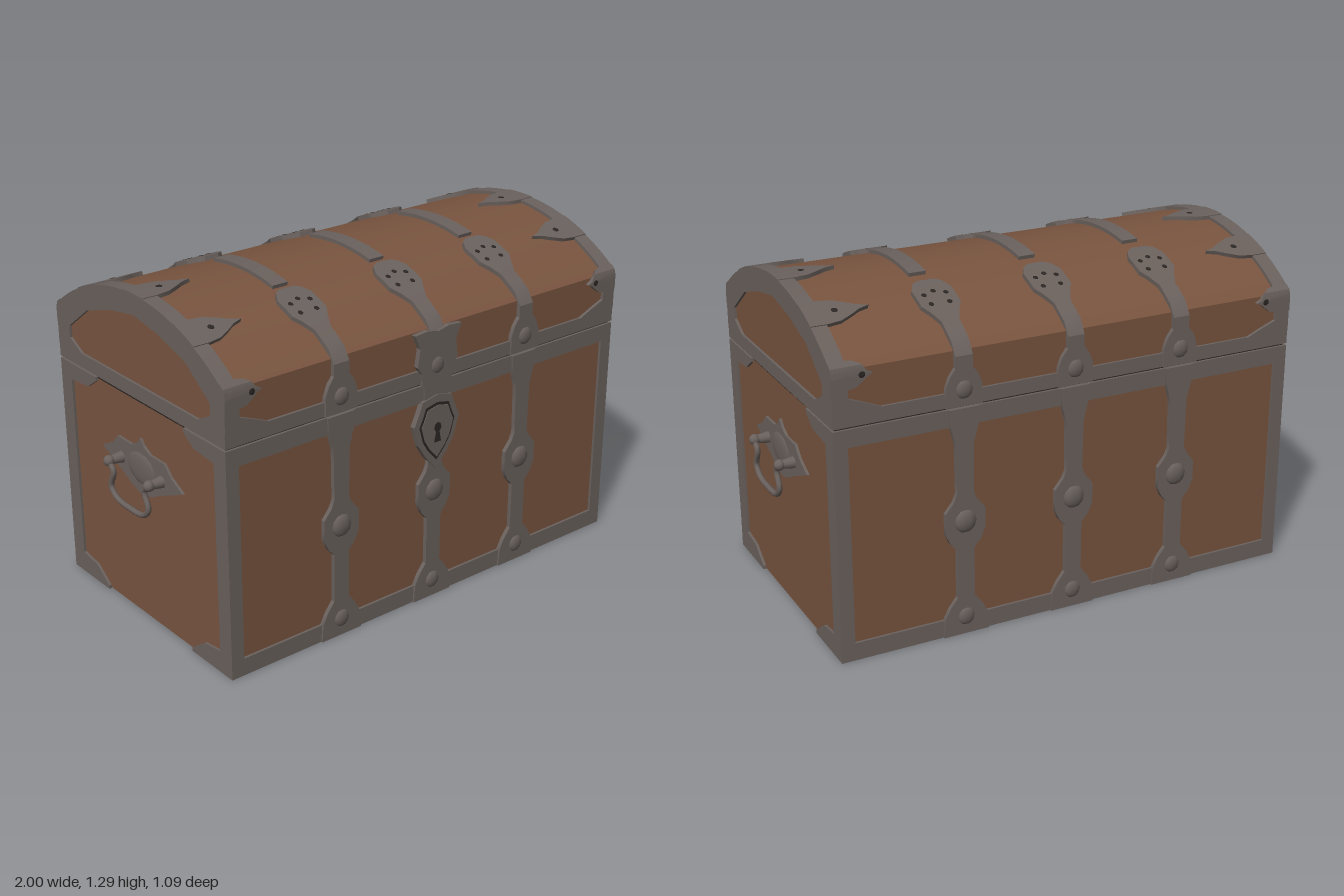
import * as THREE from 'three';
import { toCreasedNormals } from 'three/addons/utils/BufferGeometryUtils.js';

const wood = new THREE.MeshStandardMaterial({ color: 0x78543f });
wood.name = 'brown wood';
const iron = new THREE.MeshStandardMaterial({ color: 0x6a615d });
iron.name = 'grey iron';
const dark = new THREE.MeshStandardMaterial({ color: 0x2b2624 });
dark.name = 'dark recess';

// half width, half depth, seam height, top of the upright lid wall, crown height
const W = 0.915, D = 0.515, SEAM = 0.885, WALL = 1.09, TOP = 1.27;
const H = TOP - WALL, R = (D * D + H * H) / (2 * H), A = Math.asin(D / R), CY = TOP - R;
const CROWN = WALL + R * A, END = 2 * CROWN;

// Point on the chest's girth: t runs up the front, over the lid and down the back
function girth(t, off) {
  if (t <= WALL) return { z: D + off, y: t, tilt: 0 };
  if (t >= END - WALL) return { z: -D - off, y: END - t, tilt: -Math.PI };
  const a = A - (t - WALL) / R;
  return { z: (R + off) * Math.sin(a), y: CY + (R + off) * Math.cos(a), tilt: a - Math.PI / 2 };
}
const tAtZ = z => WALL + R * (A - Math.asin(z / R));

export function createModel() {
  const model = new THREE.Group();
  model.name = 'chest';
  const add = (name, geo, mat = iron, parent = model) => {
    const mesh = new THREE.Mesh(geo, mat);
    mesh.name = name;
    parent.add(mesh);
    return mesh;
  };

  // Iron plate wrapped on the girth; stations are [t, left x, right x]
  function strip(name, stations, off = 0.01) {
    const rows = [];
    stations.forEach(([t, l, r], i) => {
      const prev = stations[i - 1];
      if (prev) {
        const n = Math.ceil((t - prev[0]) / 0.05);
        for (let k = 1; k < n; k++) rows.push([0, 1, 2].map(c => prev[c] + (stations[i][c] - prev[c]) * k / n));
      }
      rows.push([t, l, r]);
    });
    const pos = [];
    const quad = (a, b, c, d) => [a, b, c, a, c, d].forEach(p => pos.push(...p));
    const rings = rows.map(([t, l, r]) => {
      const o = girth(t, off), b = girth(t, -0.004);
      return [[l, o.y, o.z], [r, o.y, o.z], [r, b.y, b.z], [l, b.y, b.z]];
    });
    for (let i = 0; i + 1 < rings.length; i++) {
      const p = rings[i], q = rings[i + 1];
      quad(p[0], p[1], q[1], q[0]);
      quad(p[1], p[2], q[2], q[1]);
      quad(p[3], p[0], q[0], q[3]);
    }
    const f = rings[0], e = rings[rings.length - 1];
    quad(f[3], f[2], f[1], f[0]);
    quad(e[0], e[1], e[2], e[3]);
    const geo = new THREE.BufferGeometry();
    geo.setAttribute('position', new THREE.Float32BufferAttribute(pos, 3));
    return add(name, toCreasedNormals(geo, 0.5));
  }

  const poly = pts => new THREE.Shape(pts.map(([x, y]) => new THREE.Vector2(x, y)));
  const mirrored = half => [...half, ...half.slice().reverse().filter(p => p[0] !== 0).map(([x, y]) => [-x, y])];
  const extrude = (shape, depth) => new THREE.ExtrudeGeometry(shape, { depth, bevelEnabled: false });

  // Flattened dome or disc sitting on the girth
  function stud(name, x, t, r, off, mat = iron, flat = 0.4) {
    const p = girth(t, off);
    const mesh = add(name, new THREE.SphereGeometry(r, 10, 6), mat);
    mesh.position.set(x, p.y, p.z);
    mesh.rotation.x = p.tilt;
    mesh.scale.z = flat;
  }

  // Wooden body, seam and barrel lid
  add('body', new THREE.BoxGeometry(2 * W, SEAM - 0.01, 2 * D), wood).position.y = 0.005 + (SEAM - 0.01) / 2;
  add('seam', new THREE.BoxGeometry(2 * W, 0.02, 2 * D), dark).position.y = SEAM;
  const arc = (off, n = 24) => Array.from({ length: n + 1 }, (_, i) => {
    const a = A * (1 - 2 * i / n);
    return [(R + off) * Math.sin(a), CY + (R + off) * Math.cos(a)];
  });
  const lid = extrude(poly([[-D, SEAM + 0.005], [D, SEAM + 0.005], ...arc(0)]), 2 * W);
  lid.translate(0, 0, -W);
  lid.rotateY(Math.PI / 2);
  add('lid', toCreasedNormals(lid, 0.5), wood);

  // Long bands and corner posts on front and back
  const band = (name, a, b, x0 = -0.925, x1 = 0.925) => {
    strip(name, [[a, x0, x1], [b, x0, x1]]);
    strip(name, [[END - b, x0, x1], [END - a, x0, x1]]);
  };
  band('bottomBand', 0, 0.068);
  band('bodyRimBand', 0.815, SEAM - 0.004);
  band('lidRimBand', SEAM + 0.004, 0.942);
  band('cornerPost', 0.068, 0.815, 0.872, 0.925);
  band('cornerPost', 0.068, 0.815, -0.925, -0.872);

  // Vertical straps with medallions, the same front and back
  const bottomStrap = [[0, 0.09], [0.07, 0.085], [0.11, 0.065], [0.15, 0.034], [0.34, 0.034], [0.37, 0.06],
    [0.41, 0.078], [0.49, 0.078], [0.53, 0.045], [0.56, 0.033], [0.75, 0.036], [0.82, 0.055], [0.881, 0.06]];
  const z = tAtZ;
  const lidStrap = [[0.889, 0.07], [0.96, 0.07], [1.0, 0.055], [1.03, 0.033], [z(0.42), 0.034], [z(0.38), 0.055],
    [z(0.35), 0.075], [z(0.27), 0.075], [z(0.235), 0.055], [z(0.22), 0.03]];
  for (const x of [-0.44, 0, 0.44]) {
    for (const profile of [bottomStrap, lidStrap]) {
      strip('strap', profile.map(([t, w]) => [t, x - w, x + w]), 0.017);
      strip('strap', profile.map(([t, w]) => [END - t, x - w, x + w]).reverse(), 0.017);
    }
    strip('crownStrap', [[z(0.19), x - 0.033, x + 0.033], [z(-0.16), x - 0.033, x + 0.033]], 0.014);
    for (const back of [false, true]) {
      const side = t => back ? END - t : t;
      stud('medallionBoss', x, side(0.45), 0.045, 0.014);
      stud('rimBoss', x, side(0.95), 0.035, 0.014);
      stud('footBoss', x, side(0.07), 0.035, 0.014);
      for (const [dx, dz] of [[0, 0.285], [-0.042, 0.3], [0.042, 0.3], [-0.035, 0.345], [0.035, 0.345]])
        stud('piercing', x + dx, side(z(dz)), 0.01, 0.017, dark, 0.15);
    }
  }

  // Lid end bands with leaf-shaped tips
  const leaf = [[-0.062, 0.86], [-0.055, 0.81], [-0.03, 0.76], [-0.012, 0.73], [0, 0.69],
    [0.012, 0.73], [0.03, 0.76], [0.055, 0.81], [0.062, 0.86]];
  const leaves = [[1.07, 0.5], [z(0.3), 1], [z(0), 1], [z(-0.3), 1], [END - 1.07, 0.5]];
  for (const s of [1, -1]) {
    const edge = (t, inner) => s > 0 ? [t, inner, 0.925] : [t, -0.925, -inner];
    strip('lidEndBand', [edge(0.94, 0.74), edge(0.965, 0.8), edge(0.99, 0.865), edge(WALL, 0.865),
      edge(END - WALL, 0.865), edge(END - 0.99, 0.865), edge(END - 0.965, 0.8), edge(END - 0.94, 0.74)], 0.012);
    for (const [t, k] of leaves) {
      strip('leafTip', leaf.map(([dt, x]) => edge(t + dt * (0.5 + k / 2), 0.86 + (x - 0.86) * k)), 0.015);
      stud('leafPiercing', s * 0.815, t, 0.012, 0.015, dark, 0.15);
    }
  }

  // Lid end frame, body corner irons and handle plate outlines
  const arch = poly([[-0.525, SEAM + 0.004], [0.525, SEAM + 0.004], [0.525, WALL], ...arc(0.012), [-0.525, WALL]]);
  arch.holes.push(poly(mirrored([[0.37, 0.945], [0.445, 0.985], [0.445, 1.03], [0.31, 1.13], [0.15, 1.18], [0, 1.205]])));
  const corner = [[0.525, 0], [0.525, 0.881], [0.28, 0.881], [0.28, 0.865], [0.34, 0.825], [0.455, 0.815],
    [0.455, 0.085], [0.36, 0.072], [0.28, 0.015], [0.28, 0]];
  const lobes = [[0, 0.515], [0.06, 0.53], [0.12, 0.56], [0.19, 0.59], [0.26, 0.62], [0.19, 0.655],
    [0.15, 0.695], [0.06, 0.695], [0.02, 0.715], [0, 0.74]];
  const bail = new THREE.CatmullRomCurve3([[0.135, 0.62], [0.1, 0.59], [0.122, 0.525], [0.09, 0.49], [0, 0.48],
    [-0.09, 0.49], [-0.122, 0.525], [-0.1, 0.59], [-0.135, 0.62]].map(([x, y]) => new THREE.Vector3(x, y, 0.065)));
  for (const s of [1, -1]) {
    const end = new THREE.Group();
    end.name = s > 0 ? 'leftEnd' : 'rightEnd';
    end.rotation.y = s * Math.PI / 2;
    end.position.x = s * W;
    model.add(end);
    add('lidEndFrame', extrude(arch, 0.01), iron, end);
    for (const m of [1, -1]) {
      add('cornerIron', extrude(poly(corner.map(([x, y]) => [m * x, y])), 0.01), iron, end);
      const post = add('handlePost', new THREE.CylinderGeometry(0.014, 0.024, 0.07, 10), iron, end);
      post.rotation.x = Math.PI / 2;
      post.position.set(m * 0.13, 0.62, 0.035);
      add('handleKnob', new THREE.SphereGeometry(0.021, 10, 8), iron, end).position.set(m * 0.13, 0.62, 0.064);
    }
    add('handlePlate', extrude(poly(mirrored(lobes)), 0.01), iron, end);
    const boss = add('handleBoss', new THREE.SphereGeometry(0.09, 16, 8), iron, end);
    boss.position.set(0, 0.62, 0.008);
    boss.scale.set(1, 0.7, 0.12);
    add('handleBail', new THREE.TubeGeometry(bail, 40, 0.011, 8), iron, end);
  }

  // Triangular corner plates under the base
  for (const sx of [1, -1]) for (const sz of [1, -1]) {
    const g = extrude(poly([[0.925 * sx, 0.525 * sz], [0.69 * sx, 0.525 * sz], [0.925 * sx, 0.29 * sz]]), 0.006);
    g.rotateX(Math.PI / 2);
    add('baseCorner', g).position.y = 0.006;
  }

  // Hasp on the lid and shield-shaped lock below it
  const hasp = [[0, 0.87], [0.065, 0.875], [0.075, 0.93], [0.095, 0.96], [0.085, 1.03], [0.11, 1.085], [0.05, 1.09], [0, 1.08]];
  add('hasp', extrude(poly(mirrored(hasp)), 0.02)).position.z = D;
  const shield = [[0, 0.54], [0.05, 0.595], [0.085, 0.65], [0.108, 0.73], [0.085, 0.78], [0.07, 0.82], [0, 0.835]];
  add('lockPlate', extrude(poly(mirrored(shield)), 0.022)).position.z = D;
  const inset = shield.map(([x, y]) => [x * 0.78, 0.7 + (y - 0.7) * 0.78]);
  add('lockRecess', extrude(poly(mirrored(inset)), 0.003), dark).position.z = D + 0.021;
  const face = shield.map(([x, y]) => [x * 0.7, 0.7 + (y - 0.7) * 0.7]);
  add('lockFace', extrude(poly(mirrored(face)), 0.005)).position.z = D + 0.022;
  const keyhole = [[0, 0.65], [0.016, 0.65], [0.008, 0.69], [0.017, 0.705], [0.012, 0.722], [0, 0.727]];
  add('keyhole', extrude(poly(mirrored(keyhole)), 0.002), dark).position.z = D + 0.027;
  return model;
}
